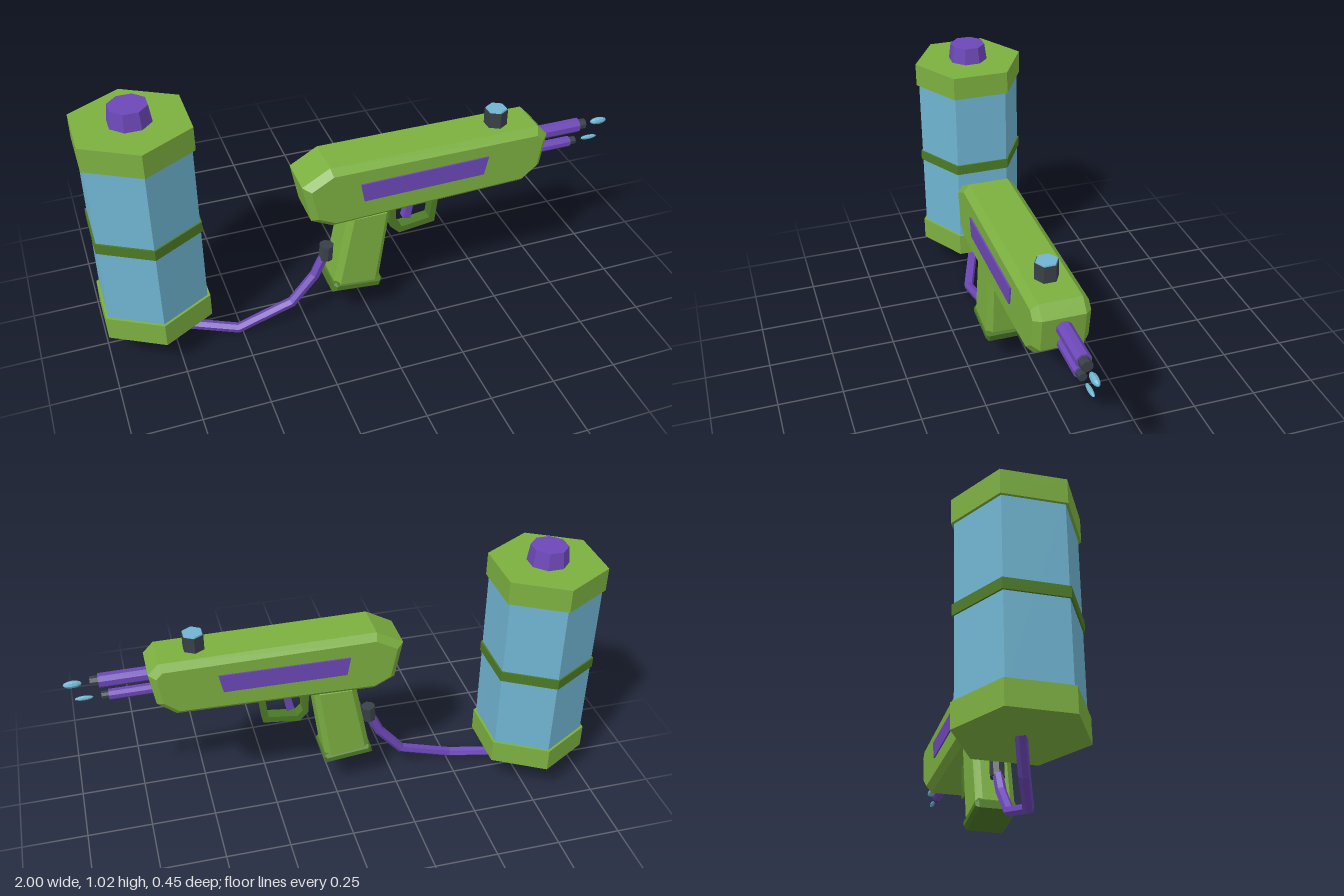
import * as THREE from 'three';

const mat = (name, color) => {
  const m = new THREE.MeshStandardMaterial({ color, flatShading: true });
  m.name = name;
  return m;
};

// Hose path: straight runs whose corners land on the tube's rings
class Polyline extends THREE.Curve {
  constructor(points) {
    super();
    this.points = points.map((p) => new THREE.Vector3(...p));
  }
  getPoint(t, target = new THREE.Vector3()) {
    const n = this.points.length - 1;
    const i = Math.min(Math.floor(t * n + 1e-9), n - 1);
    return target.lerpVectors(this.points[i], this.points[i + 1], t * n - i);
  }
  getPointAt(u, target) { return this.getPoint(u, target); }
  getTangentAt(u, target) { return this.getTangent(u, target); }
}

export function createModel() {
  const green = mat('light green', 0x7cb040);
  const darkGreen = mat('dark green', 0x4c7a25);
  const blue = mat('water blue', 0x70b5d2);
  const purple = mat('purple', 0x6d48b8);
  const grey = mat('dark grey', 0x384048);

  const model = new THREE.Group();
  const tank = new THREE.Group();
  tank.name = 'waterTank';
  tank.position.x = -0.806;
  const gun = new THREE.Group();
  gun.name = 'waterGun';
  gun.position.z = 0.105;
  model.add(tank, gun);

  const add = (parent, name, geometry, material, x = 0, y = 0, z = 0) => {
    const mesh = new THREE.Mesh(geometry, material);
    mesh.name = name;
    mesh.position.set(x, y, z);
    parent.add(mesh);
    return mesh;
  };
  // Upright prism between two heights
  const prism = (parent, name, material, y0, y1, rBottom, rTop, sides, x = 0) =>
    add(parent, name, new THREE.CylinderGeometry(rTop, rBottom, y1 - y0, sides), material, x, (y0 + y1) / 2);
  // Side profile extruded across z, centred, with chamfered rims inside the outline
  const slab = (parent, name, material, points, width, bevel = 0, z = 0) => {
    const shape = new THREE.Shape(points.map((p) => new THREE.Vector2(...p)));
    const geometry = new THREE.ExtrudeGeometry(shape, {
      depth: width - 2 * bevel, bevelEnabled: bevel > 0, bevelSegments: 1,
      bevelSize: bevel, bevelThickness: bevel, bevelOffset: -bevel,
    });
    geometry.translate(0, 0, -(width - 2 * bevel) / 2);
    return add(parent, name, geometry, material, 0, 0, z);
  };

  // Tank
  prism(tank, 'tankGlass', blue, 0.2, 0.9, 0.212, 0.212, 6);
  prism(tank, 'tankBottomCap', green, 0.13, 0.222, 0.223, 0.223, 6);
  prism(tank, 'tankTopCap', green, 0.868, 0.96, 0.223, 0.223, 6);
  prism(tank, 'tankBand', darkGreen, 0.522, 0.563, 0.219, 0.219, 6);
  prism(tank, 'fillerCap', purple, 0.96, 1.025, 0.079, 0.07, 8).rotation.y = Math.PI / 8;

  // Gun body and side panels
  slab(gun, 'body', green, [
    [-0.235, 0.52], [-0.155, 0.48], [0.605, 0.503], [0.675, 0.56],
    [0.695, 0.69], [0.655, 0.732], [-0.16, 0.732], [-0.265, 0.672],
  ], 0.2, 0.025);
  for (const side of [1, -1]) {
    slab(gun, 'sidePanel', purple,
      [[-0.04, 0.58], [0.43, 0.588], [0.445, 0.662], [-0.053, 0.654]], 0.008, 0, side * 0.102);
  }

  // Grip with flared foot
  slab(gun, 'grip', green, [[-0.15, 0.16], [0.034, 0.145], [0.082, 0.5], [-0.085, 0.5]], 0.146, 0.022);
  slab(gun, 'gripFoot', darkGreen,
    [[-0.157, 0.153], [0.034, 0.133], [0.046, 0.165], [0.04, 0.175], [-0.14, 0.194], [-0.15, 0.184]], 0.156, 0.012);

  // Trigger and guard
  slab(gun, 'triggerGuard', darkGreen, [
    [0.09, 0.5], [0.095, 0.37], [0.13, 0.334], [0.275, 0.353], [0.292, 0.51],
    [0.268, 0.51], [0.254, 0.375], [0.14, 0.36], [0.117, 0.383], [0.114, 0.5],
  ], 0.048);
  slab(gun, 'trigger', purple,
    [[0.148, 0.392], [0.178, 0.385], [0.187, 0.44], [0.205, 0.5], [0.162, 0.5], [0.16, 0.44]], 0.032);

  // Sight with lens
  prism(gun, 'sight', grey, 0.72, 0.794, 0.043, 0.043, 6, 0.515);
  prism(gun, 'sightLens', blue, 0.793, 0.799, 0.041, 0.039, 6, 0.515);

  // Barrels, nozzles and water drops
  const barrels = [
    { name: 'upper', y: 0.648, end: 0.87, r: 0.028, nozzle: 0.9, drop: 0.962, dropR: 0.014 },
    { name: 'lower', y: 0.58, end: 0.84, r: 0.021, nozzle: 0.866, drop: 0.929, dropR: 0.009 },
  ];
  for (const b of barrels) {
    const rod = (name, material, x0, x1, r) => {
      const g = new THREE.CylinderGeometry(r, r, x1 - x0, 8).rotateY(Math.PI / 8).rotateZ(-Math.PI / 2);
      add(gun, name, g, material, (x0 + x1) / 2, b.y);
    };
    rod(b.name + 'Barrel', purple, 0.64, b.end, b.r);
    rod(b.name + 'Nozzle', grey, b.end - 0.005, b.nozzle, b.r * 0.74);
    const drop = new THREE.SphereGeometry(1, 8, 6).rotateZ(-Math.PI / 2).scale(0.034, b.dropR, b.dropR);
    add(gun, b.name + 'WaterDrop', drop, blue, b.drop, b.y);
  }

  // Hose from tank to grip
  const path = new Polyline([
    [-0.81, 0.14, -0.005], [-0.725, 0.046, 0.028], [-0.515, 0.022, 0.105],
    [-0.3, 0.09, 0.105], [-0.205, 0.2, 0.105], [-0.158, 0.3, 0.105],
  ]);
  add(model, 'hose', new THREE.TubeGeometry(path, 5, 0.02, 6), purple);
  prism(gun, 'hoseConnector', grey, 0.272, 0.334, 0.028, 0.028, 8, -0.157).rotation.z = -0.08;

  return model;
}
